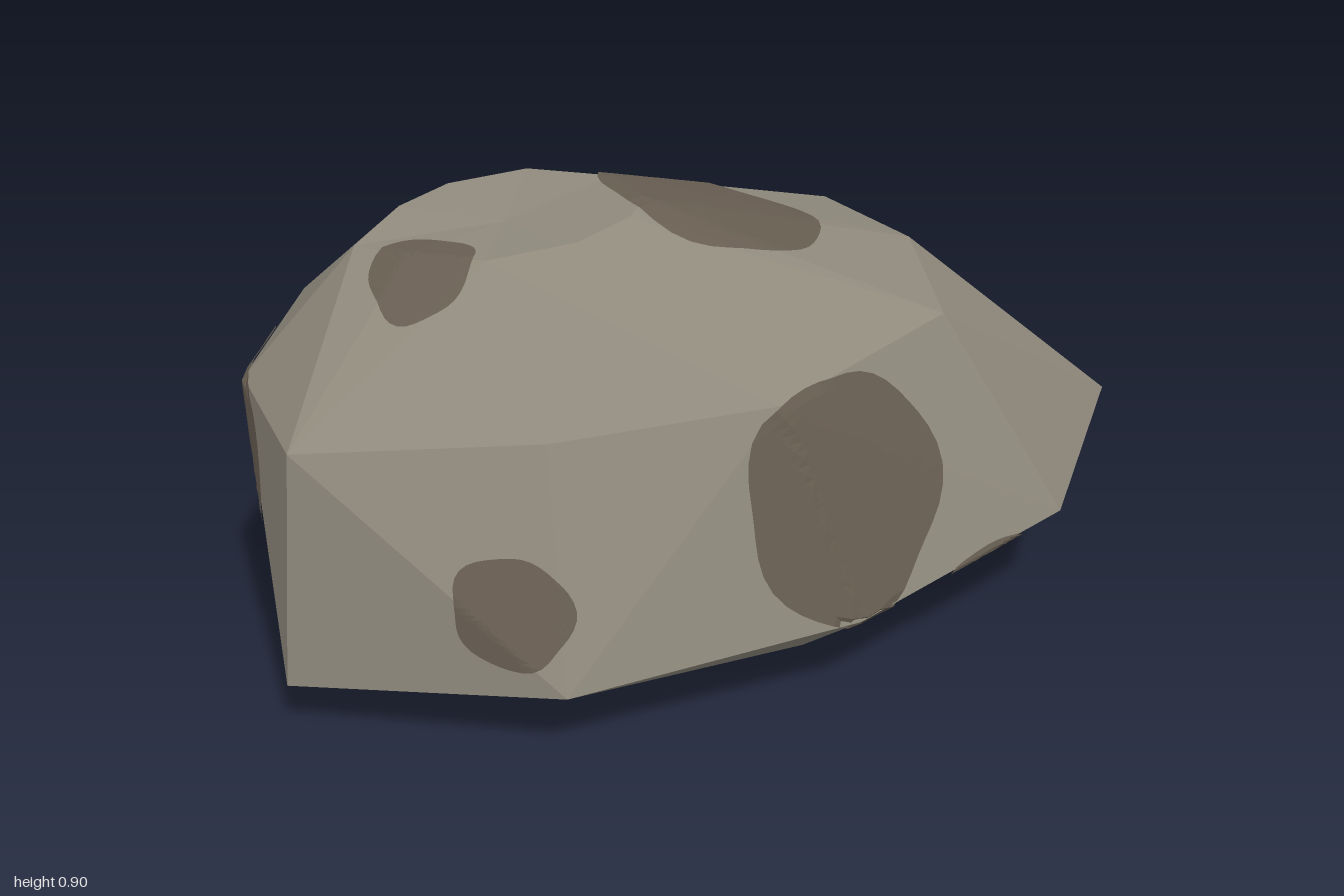
import * as THREE from 'three';

const stone = new THREE.MeshStandardMaterial({ color: 0x8f897c });
stone.name = 'warm grey stone';
const lichen = new THREE.MeshStandardMaterial({ color: 0x675d51 });
lichen.name = 'dark brown patch';

// Ten-sided cross-sections of the boulder, from the underside to the crown
const rings = [
  [[-0.65, 0, 0.16], [-0.45, 0.02, 0.45], [-0.02, 0.06, 0.56], [0.35, 0.08, 0.42], [0.71, 0.12, 0.17],
    [0.55, 0.13, -0.2], [0.36, 0.1, -0.47], [-0.1, 0.055, -0.45], [-0.5, 0.04, -0.42], [-0.62, 0.02, -0.13]],
  [[-1, 0.1, 0.31], [-0.57, 0.14, 0.65], [0.02, 0.18, 0.71], [0.6, 0.22, 0.56], [1, 0.28, 0.18],
    [0.77, 0.275, -0.26], [0.48, 0.26, -0.62], [-0.1, 0.22, -0.72], [-0.73, 0.18, -0.62], [-0.86, 0.14, -0.19]],
  [[-0.96, 0.57, 0.3], [-0.53, 0.58, 0.49], [-0.1, 0.61, 0.59], [0.36, 0.665, 0.44], [0.5, 0.7, 0.09],
    [0.5, 0.69, -0.27], [0.16, 0.67, -0.51], [-0.31, 0.66, -0.61], [-0.72, 0.62, -0.4], [-0.94, 0.575, -0.08]],
  [[-0.65, 0.845, 0.11], [-0.53, 0.845, 0.21], [-0.35, 0.86, 0.23], [-0.22, 0.88, 0.19], [-0.16, 0.89, 0.13],
    [-0.15, 0.89, -0.05], [-0.28, 0.885, -0.19], [-0.46, 0.88, -0.18], [-0.59, 0.87, -0.11], [-0.72, 0.84, 0]],
].map((ring) => ring.map((p) => new THREE.Vector3(...p)));

// Separate triangles keep every facet flat
function facets(points) {
  const geometry = new THREE.BufferGeometry().setFromPoints(points);
  geometry.computeVertexNormals();
  return geometry;
}

function boulderGeometry() {
  const points = [];
  const crown = new THREE.Vector3(-0.42, 0.85, 0.02);
  const base = new THREE.Vector3(0, 0.05, 0.03);
  for (let i = 0; i < 10; i++) {
    const j = (i + 1) % 10;
    for (let k = 0; k < 3; k++) {
      const a = rings[k][i], b = rings[k][j], c = rings[k + 1][j], d = rings[k + 1][i];
      // Split each quad along its outward fold, except one hollow on the +x side
      const plane = new THREE.Plane().setFromCoplanarPoints(a, b, c);
      const hollow = k === 1 && i === 4;
      if (plane.distanceToPoint(d) <= 0 && !hollow) points.push(a, b, c, a, c, d);
      else points.push(a, b, d, b, c, d);
    }
    points.push(rings[3][i], rings[3][j], crown);
    points.push(rings[0][j], rings[0][i], base);
  }
  return facets(points);
}

// A wavy blob projected along one axis so that it hugs the facets
function patchGeometry(boulder, { axis, side, at, size, turn = 0, wave = 0 }) {
  const ray = new THREE.Raycaster();
  const direction = new THREE.Vector3();
  direction[axis] = -side;
  const [uAxis, vAxis] = { x: ['z', 'y'], y: ['x', 'z'], z: ['x', 'y'] }[axis];

  const project = (radius, angle) => {
    const r = radius * (1 + 0.05 * Math.sin(3 * angle + wave) + 0.035 * Math.sin(5 * angle + 2 * wave));
    const u = r * size[0] * Math.cos(angle), v = r * size[1] * Math.sin(angle);
    const origin = new THREE.Vector3();
    origin[axis] = side * 3;
    origin[uAxis] = at[0] + u * Math.cos(turn) - v * Math.sin(turn);
    origin[vAxis] = at[1] + u * Math.sin(turn) + v * Math.cos(turn);
    ray.set(origin, direction);
    const hit = ray.intersectObject(boulder)[0];
    return hit ? hit.point.clone().addScaledVector(hit.face.normal, 0.005) : null;
  };

  const steps = 40, bands = 12, points = [];
  const grid = [];
  for (let b = 0; b <= bands; b++) {
    grid.push([]);
    for (let s = 0; s < steps; s++) grid[b].push(project(b / bands, (s / steps) * Math.PI * 2));
  }
  const normal = new THREE.Vector3();
  const addTriangle = (a, b, c) => {
    if (!a || !b || !c) return;
    new THREE.Triangle(a, b, c).getNormal(normal);
    if (normal.lengthSq() < 0.5) return;
    if (normal.dot(direction) < 0) points.push(a, b, c);
    else points.push(a, c, b);
  };
  for (let b = 0; b < bands; b++) {
    for (let s = 0; s < steps; s++) {
      const t = (s + 1) % steps;
      addTriangle(grid[b][s], grid[b + 1][s], grid[b + 1][t]);
      if (b > 0) addTriangle(grid[b][s], grid[b + 1][t], grid[b][t]);
    }
  }
  return facets(points);
}

export function createModel() {
  const group = new THREE.Group();
  group.name = 'boulder';
  const boulder = new THREE.Mesh(boulderGeometry(), stone);
  boulder.name = 'stoneBody';
  group.add(boulder);

  const patches = [
    { name: 'lowerFrontPatch', axis: 'z', side: 1, at: [0.4, 0.175], size: [0.14, 0.045] },
    { name: 'leftPatch', axis: 'x', side: 1, at: [-0.135, 0.475], size: [0.185, 0.07], turn: 0.86 },
    { name: 'lowerLeftPatch', axis: 'x', side: 1, at: [-0.16, 0.19], size: [0.08, 0.06] },
    { name: 'rightPatch', axis: 'x', side: -1, at: [-0.13, 0.4], size: [0.23, 0.21], wave: 2 },
  ];
  // Large and small patches repeat on opposite sides
  for (const side of [1, -1]) {
    const end = side > 0 ? 'front' : 'back';
    const level = side > 0 ? 'top' : 'bottom';
    patches.push(
      { name: end + 'LargePatch', axis: 'z', side, at: [0.035, 0.405], size: [0.23, 0.23], wave: 1 },
      { name: end + 'SmallPatch', axis: 'z', side, at: [-0.635, 0.29], size: [0.1, 0.1], wave: 1 },
      { name: level + 'LargePatch', axis: 'y', side, at: [0.025, 0.055], size: [0.23, 0.23], wave: 1 },
      { name: level + 'SmallPatch', axis: 'y', side, at: [-0.635, 0.145], size: [0.1, 0.1], wave: 1 },
    );
  }
  for (const patch of patches) {
    const mesh = new THREE.Mesh(patchGeometry(boulder, patch), lichen);
    mesh.name = patch.name;
    group.add(mesh);
  }
  return group;
}
